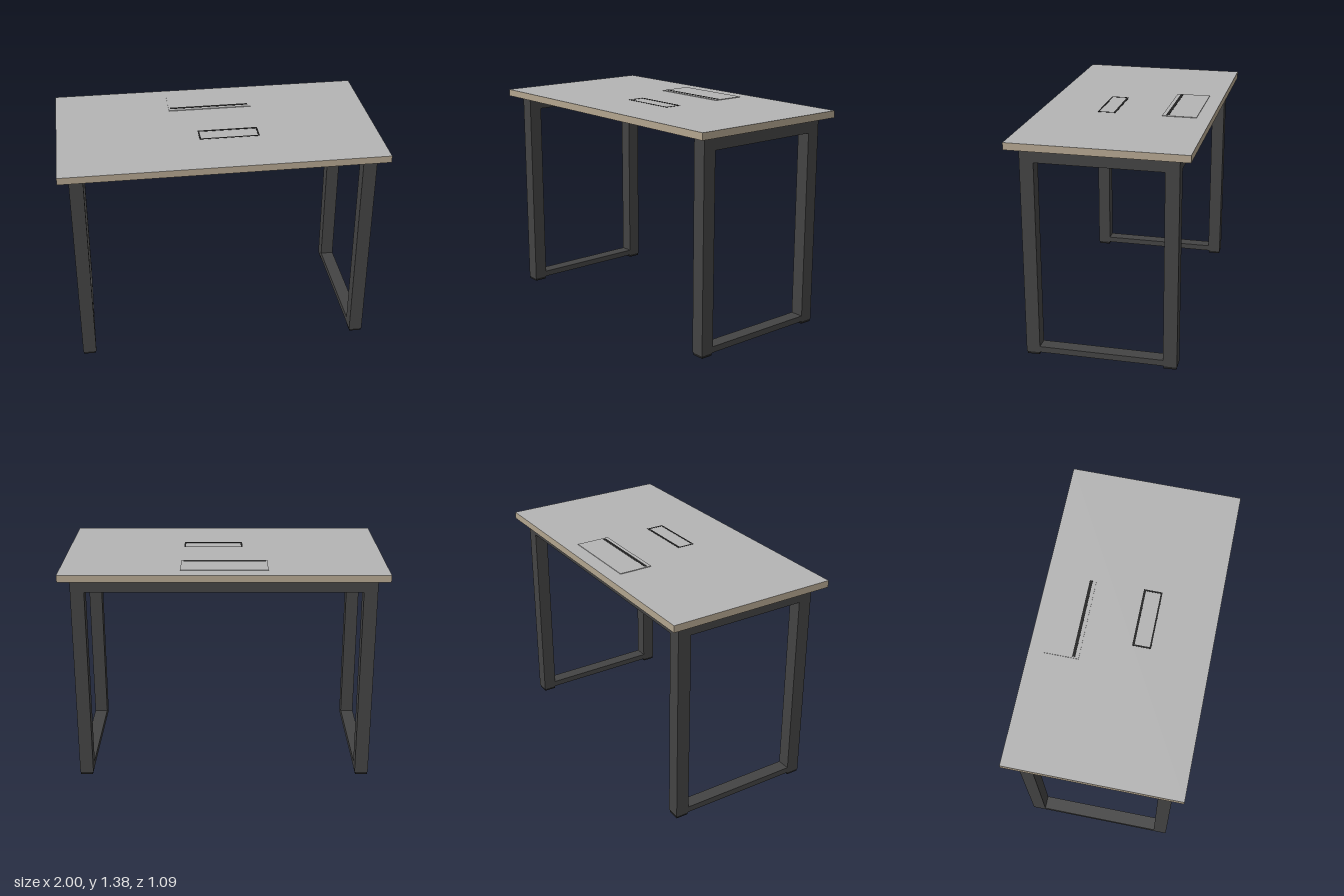
import * as THREE from 'three';

function material(name, color) {
  const m = new THREE.MeshStandardMaterial({ color });
  m.name = name;
  return m;
}

export function createModel() {
  const grey = material('grey laminate', 0xb4b4b4);
  const tan = material('tan board', 0xb3a58f);
  const steel = material('dark steel', 0x434343);
  const black = material('black', 0x202020);

  const model = new THREE.Group();
  model.name = 'desk';

  // Box given by its extents on each axis
  function box(parent, name, mat, [x0, x1], [y0, y1], [z0, z1]) {
    const mesh = new THREE.Mesh(new THREE.BoxGeometry(x1 - x0, y1 - y0, z1 - z0), mat);
    mesh.position.set((x0 + x1) / 2, (y0 + y1) / 2, (z0 + z1) / 2);
    mesh.name = name;
    parent.add(mesh);
    return mesh;
  }

  const topY = 1.379;     // working surface
  const underY = 1.335;   // underside of board
  const railY = 1.248;    // underside of upper rails
  const outX = 0.935, inX = 0.85;
  const outZ = 0.471, inZ = 0.386;

  // Board: laminate on the upper face only
  box(model, 'tabletop', [tan, tan, grey, tan, tan, tan], [-1, 1], [underY, topY], [-0.543, 0.543]);

  // Two closed side frames with feet
  for (const side of [-1, 1]) {
    const frame = new THREE.Group();
    frame.name = side > 0 ? 'leftFrame' : 'rightFrame';
    model.add(frame);
    const spanX = side > 0 ? [inX, outX] : [-outX, -inX];
    const footX = [spanX[0] + 0.004, spanX[1] - 0.004];
    for (const end of [-1, 1]) {
      const label = end > 0 ? 'front' : 'back';
      const spanZ = end > 0 ? [inZ, outZ] : [-outZ, -inZ];
      box(frame, label + 'Leg', steel, spanX, [0.016, underY], spanZ);
      box(frame, label + 'Foot', black, footX, [0, 0.016], [spanZ[0] + 0.004, spanZ[1] - 0.004]);
    }
    box(frame, 'upperSideRail', steel, spanX, [railY, underY], [-inZ, inZ]);
    box(frame, 'lowerSideRail', steel, spanX, [0.018, 0.056], [-inZ, inZ]);
  }

  // Rail joining the frames at the back only
  box(model, 'backRail', steel, [-inX, inX], [railY, underY], [-outZ, -inZ]);

  // Cable flap with its dark slot
  const flapY = topY + 0.004;
  box(model, 'cableFlap', grey, [-0.27, 0.265], [topY, flapY], [-0.45, -0.235]);
  box(model, 'flapSlot', black, [-0.26, 0.25], [flapY, flapY + 0.001], [-0.276, -0.257]);

  // Outline of the inset panel
  const outline = new THREE.Group();
  outline.name = 'insetOutline';
  model.add(outline);
  const lineY = [topY, topY + 0.0015];
  const [x0, x1, z0, z1] = [-0.12, 0.258, 0.062, 0.178];
  box(outline, 'backLine', black, [x0, x1], lineY, [z0, z0 + 0.014]);
  box(outline, 'frontLine', black, [x0, x1], lineY, [z1 - 0.01, z1]);
  box(outline, 'rightLine', black, [x0, x0 + 0.01], lineY, [z0 + 0.014, z1 - 0.01]);
  box(outline, 'leftLine', black, [x1 - 0.01, x1], lineY, [z0 + 0.014, z1 - 0.01]);

  return model;
}
